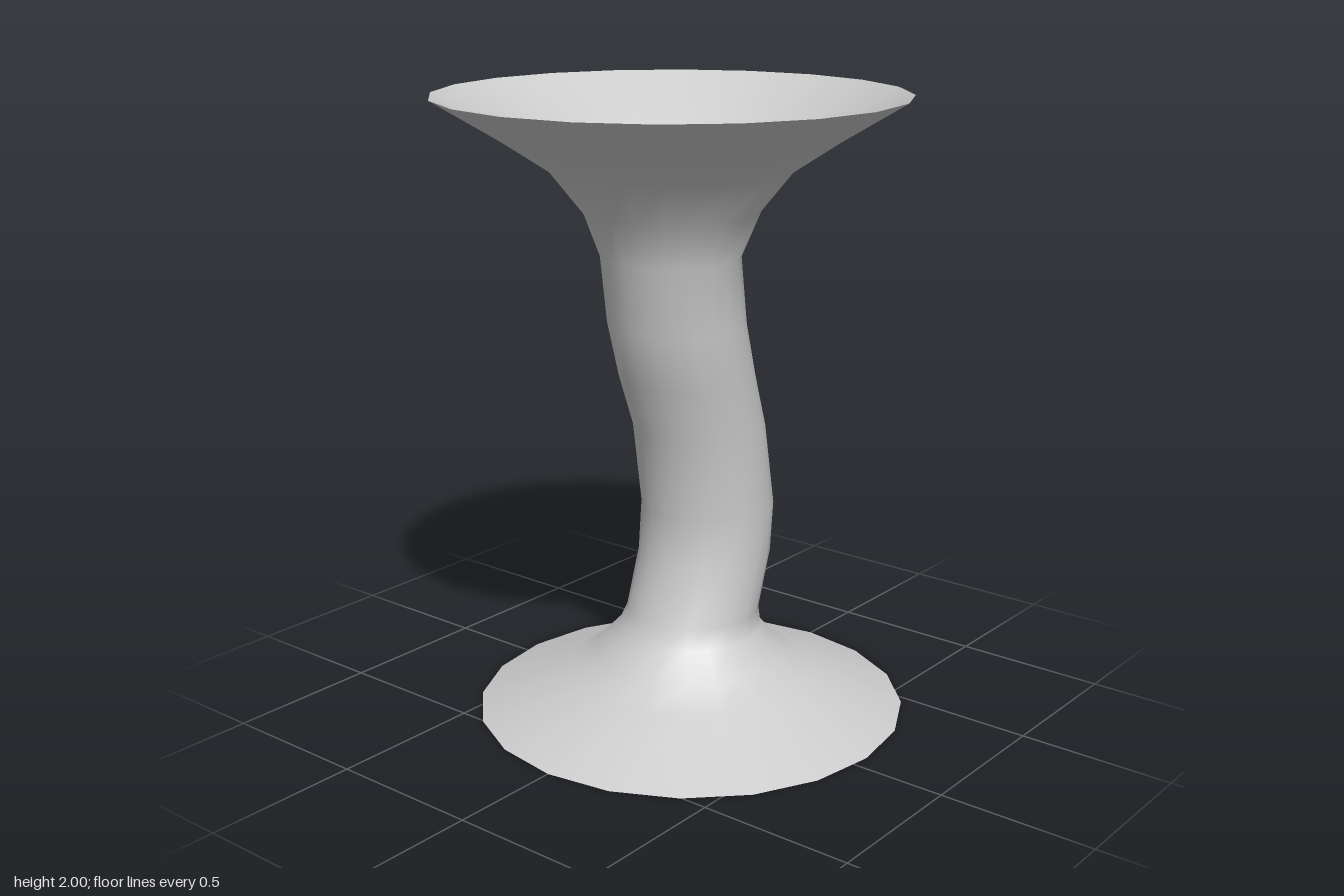
import * as THREE from 'three';

// Horizontal rings of the tube, bottom to top: [y, centre x, radius]
const RINGS = [
  [0, 0.06, 0.697], [0.125, 0.052, 0.403], [0.19, 0.05, 0.31], [0.27, 0.052, 0.234],
  [0.33, 0.07, 0.215], [0.51, 0.13, 0.215], [0.67, 0.145, 0.215], [0.94, 0.1, 0.212],
  [1.115, 0.038, 0.216], [1.295, -0.013, 0.217], [1.51, -0.043, 0.217], [1.65, -0.038, 0.273],
  [1.78, -0.036, 0.377], [1.875, -0.037, 0.52], [2, -0.038, 0.725],
];
const SIDES = 20;

// Closed loops of vertices joined into one smooth open-ended skin
function loft(rings, sides) {
  const positions = [];
  const indices = [];
  rings.forEach(([y, cx, r], i) => {
    for (let j = 0; j < sides; j++) {
      const a = (j / sides) * Math.PI * 2;
      positions.push(cx + r * Math.cos(a), y, r * Math.sin(a));
      if (i === 0) continue;
      const k = (j + 1) % sides;
      const low = (i - 1) * sides;
      const high = i * sides;
      indices.push(low + j, high + j, low + k, high + j, high + k, low + k);
    }
  });
  const geometry = new THREE.BufferGeometry();
  geometry.setAttribute('position', new THREE.Float32BufferAttribute(positions, 3));
  geometry.setIndex(indices);
  geometry.computeVertexNormals();
  return geometry;
}

export function createModel() {
  const group = new THREE.Group();
  group.name = 'flaredTube';

  // Curved hollow stem with a trumpet flare at each end
  const material = new THREE.MeshStandardMaterial({ color: 0xcccccc, side: THREE.DoubleSide });
  const tube = new THREE.Mesh(loft(RINGS, SIDES), material);
  tube.name = 'flaredStem';
  group.add(tube);

  return group;
}
